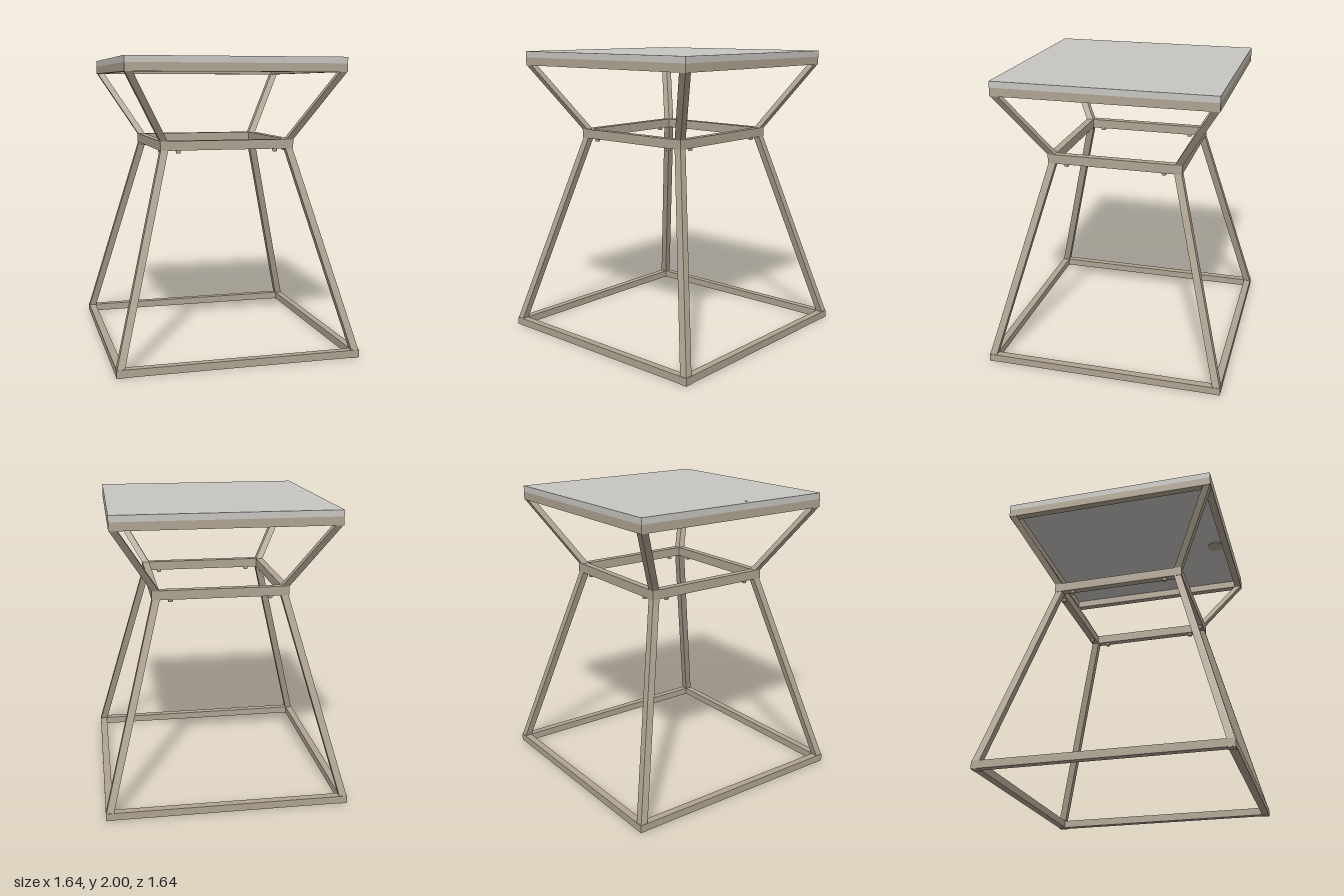
import * as THREE from 'three';

export function createModel() {
  const group = new THREE.Group();
  const metal = new THREE.MeshStandardMaterial({ name: 'taupe metal', color: 0xb0a492 });
  const top = new THREE.MeshStandardMaterial({ name: 'pale grey top', color: 0xc8c6c2 });
  const BAR = 0.05;

  const add = (name, geometry, material, x = 0, y = 0, z = 0) => {
    const mesh = new THREE.Mesh(geometry, material);
    mesh.name = name;
    mesh.position.set(x, y, z);
    group.add(mesh);
    return mesh;
  };

  // Square ring of bars lying flat, from y0 to y1
  const square = (path, h) =>
    path.moveTo(-h, -h).lineTo(h, -h).lineTo(h, h).lineTo(-h, h).closePath();
  const addFrame = (name, half, y0, y1) => {
    const shape = new THREE.Shape();
    square(shape, half);
    const hole = new THREE.Path();
    square(hole, half - BAR);
    shape.holes.push(hole);
    const geometry = new THREE.ExtrudeGeometry(shape, { depth: y1 - y0, bevelEnabled: false });
    geometry.rotateX(-Math.PI / 2);
    add(name, geometry, metal, 0, y0, 0);
  };

  // Square bar sheared along the corner diagonal between two frames
  const addLeg = (name, sx, sz, y0, out0, y1, out1) => {
    const geometry = new THREE.BoxGeometry(BAR, y1 - y0, BAR);
    const p = geometry.attributes.position;
    for (let i = 0; i < p.count; i++) {
      const centre = (p.getY(i) < 0 ? out0 : out1) - BAR / 2;
      p.setX(i, p.getX(i) + sx * centre);
      p.setZ(i, p.getZ(i) + sz * centre);
    }
    const flat = geometry.toNonIndexed();
    flat.computeVertexNormals();
    add(name, flat, metal, 0, (y0 + y1) / 2, 0);
  };

  addFrame('baseFrame', 0.818, 0.004, 0.055);
  addFrame('waistFrame', 0.46, 1.392, 1.455);
  addFrame('topFrame', 0.73, 1.903, 1.958);
  add('seatTop', new THREE.BoxGeometry(1.46, 0.042, 1.46), top, 0, 1.979, 0);

  for (const sx of [-1, 1]) {
    for (const sz of [-1, 1]) {
      addLeg('lowerLeg', sx, sz, 0.05, 0.816, 1.395, 0.456);
      addLeg('upperStrut', sx, sz, 1.45, 0.458, 1.905, 0.728);
      // Small bolts under the waist frame
      for (const [x, z] of [[0.335, 0.435], [0.435, 0.335]]) {
        add('bolt', new THREE.CylinderGeometry(0.018, 0.015, 0.02, 12), metal, sx * x, 1.383, sz * z);
      }
    }
  }

  // Little feet under the base frame corners
  for (const sx of [-1, 1]) for (const sz of [-1, 1]) {
    add('footPad', new THREE.BoxGeometry(BAR, 0.006, BAR), metal, sx * 0.79, 0.003, sz * 0.79);
  }

  // Small disc below the top and a tiny mark on it
  add('undersideDisc', new THREE.CylinderGeometry(0.06, 0.06, 0.006, 20), metal, 0.12, 1.955, 0.62);
  const mark = add('topMark', new THREE.CylinderGeometry(0.016, 0.016, 0.002, 12), metal, -0.67, 2, 0.115);
  mark.scale.z = 0.7;

  return group;
}
